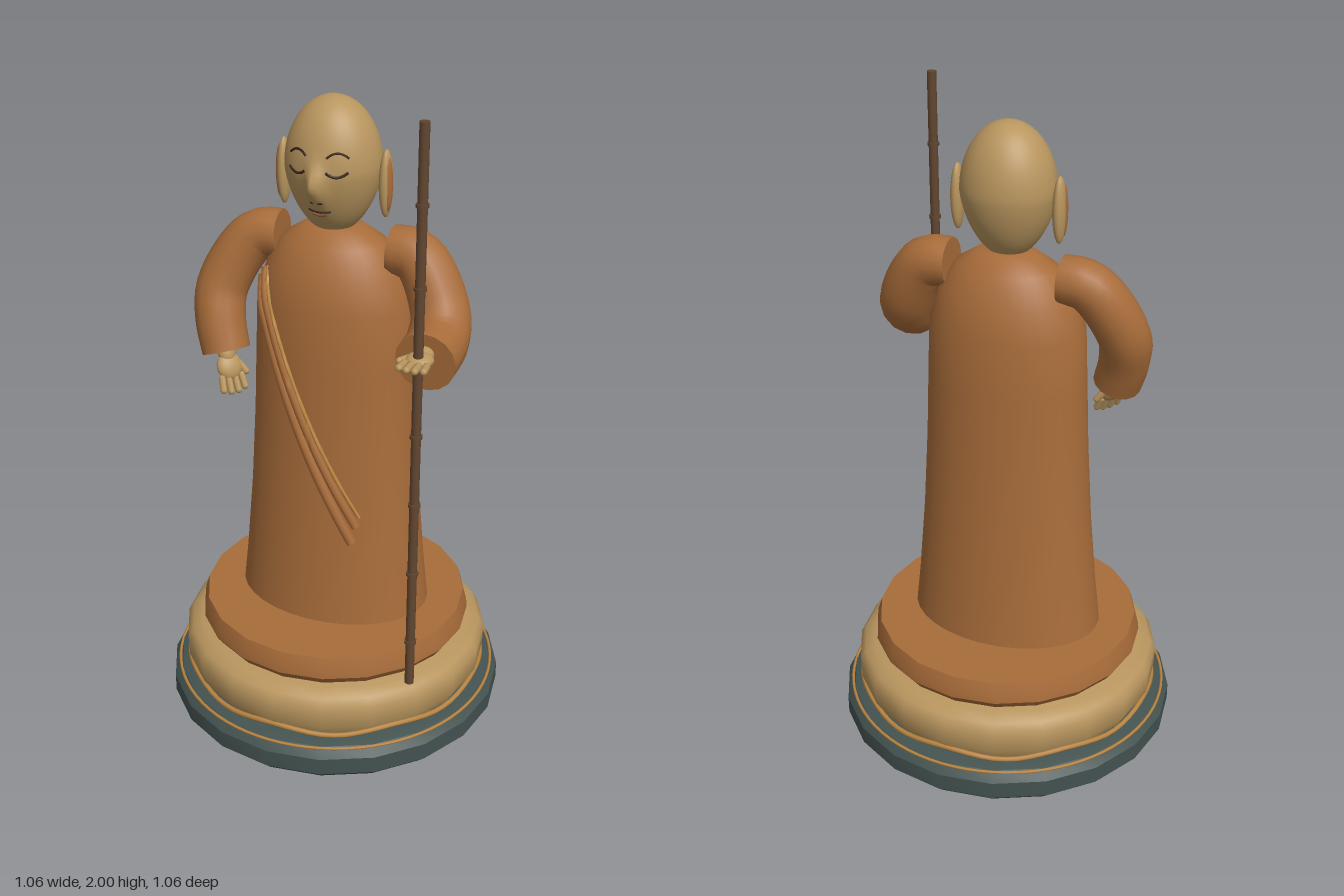
import * as THREE from 'three';
import { toCreasedNormals } from 'three/addons/utils/BufferGeometryUtils.js';

const mat = (name, color) => {
  const m = new THREE.MeshStandardMaterial({ color });
  m.name = name;
  return m;
};
const V = (x, y, z) => new THREE.Vector3(x, y, z);

export function createModel() {
  const root = new THREE.Group();
  root.name = 'robedMonkStatue';
  const robeMat = mat('robe brown', 0xa86c3a);
  const skinMat = mat('skin tan', 0xb8955e);
  const stoneMat = mat('dark stone', 0x435250);
  const goldMat = mat('gold trim', 0xb98542);
  const woodMat = mat('staff wood', 0x624630);
  const inkMat = mat('face line', 0x38261a);
  const lipMat = mat('lip', 0x8a5436);

  const add = (name, geo, material, parent = root) => {
    const mesh = new THREE.Mesh(geo, material);
    mesh.name = name;
    parent.add(mesh);
    return mesh;
  };
  const lathe = (pts, sides) =>
    new THREE.LatheGeometry(pts.map(p => new THREE.Vector2(...p)), sides);
  const ball = (name, p, r, material, parent) => {
    const m = add(name, new THREE.SphereGeometry(1, 20, 14), material, parent);
    m.position.set(...p);
    m.scale.set(...r);
    return m;
  };
  // Tube along points with a changing radius and flat closed ends
  const sweep = (pts, radius, n = 24, sides = 16) => {
    const curve = new THREE.CatmullRomCurve3(pts);
    const geo = new THREE.TubeGeometry(curve, n, 1, sides);
    const pos = geo.attributes.position, v = V(0, 0, 0);
    for (let k = 0; k < pos.count; k++) {
      const i = Math.floor(k / (sides + 1));
      const c = curve.getPointAt(i / n);
      v.fromBufferAttribute(pos, k).sub(c).multiplyScalar(radius(i / n)).add(c);
      if (i === 0) v.copy(curve.getPointAt(1 / n));
      if (i === n) v.copy(curve.getPointAt(1 - 1 / n));
      pos.setXYZ(k, v.x, v.y, v.z);
    }
    return toCreasedNormals(geo, 0.9);
  };

  // Stepped round base
  add('stoneBase', toCreasedNormals(lathe([[0, 0], [0.5, 0], [0.53, 0.03],
    [0.53, 0.085], [0.505, 0.115], [0.47, 0.125], [0, 0.125]], 20), 0.6), stoneMat);
  add('middleTier', toCreasedNormals(lathe([[0, 0.12], [0.455, 0.12], [0.48, 0.165],
    [0.482, 0.235], [0.465, 0.26], [0.43, 0.277], [0, 0.277]], 20), 0.7), skinMat);
  add('upperTier', toCreasedNormals(lathe([[0, 0.27], [0.4, 0.27], [0.425, 0.305],
    [0.422, 0.33], [0.41, 0.37], [0, 0.37]], 20), 0.6), robeMat);

  // Gold rings, the upper one wavy
  const ring = (r, y, wave, tube) => {
    const pts = [];
    for (let i = 0; i < 40; i++) {
      const a = i / 40 * Math.PI * 2;
      pts.push(V(r * Math.sin(a), y + wave * Math.cos(a * 8), r * Math.cos(a)));
    }
    return new THREE.TubeGeometry(new THREE.CatmullRomCurve3(pts, true), 80, tube, 6, true);
  };
  add('baseRing', ring(0.508, 0.112, 0, 0.005), goldMat);
  add('wavyRing', ring(0.474, 0.142, 0.008, 0.008), goldMat);

  // Robe body, an oval lathe
  const profile = [[0.305, 0.365], [0.29, 0.5], [0.268, 0.75], [0.253, 1], [0.245, 1.2],
    [0.238, 1.37], [0.205, 1.47], [0.155, 1.55], [0.085, 1.595], [0, 1.6]];
  const depth = 0.73;
  const robe = lathe(profile, 32);
  robe.scale(1, 1, depth);
  add('robeBody', robe, robeMat);
  const robeFront = (x, y) => {
    let i = 1;
    while (i < profile.length - 1 && profile[i][1] < y) i++;
    const [r0, y0] = profile[i - 1], [r1, y1] = profile[i];
    const r = r0 + (r1 - r0) * (y - y0) / (y1 - y0);
    return depth * Math.sqrt(Math.max(r * r - x * x, 0.002));
  };

  // Diagonal sash folds following the robe
  const fold = (name, x0, y0, x1, y1, r, material) => {
    const pts = [];
    for (let i = 0; i <= 10; i++) {
      const t = i / 10;
      const x = x0 + (x1 - x0) * t - 0.02 * Math.sin(Math.PI * t), y = y0 + (y1 - y0) * t;
      pts.push(V(x, y, robeFront(x, y) + 0.003));
    }
    add(name, sweep(pts, () => r, 40, 8), material);
  };
  fold('sashTrim', -0.185, 1.475, 0.158, 0.72, 0.006, goldMat);
  fold('sashUpperFold', -0.195, 1.465, 0.15, 0.69, 0.014, robeMat);
  fold('sashLowerFold', -0.205, 1.44, 0.14, 0.635, 0.016, robeMat);

  // Sleeves
  const sleeveRadius = t => 0.07 + 0.018 * Math.sin(Math.min(t * 1.3, 1) * Math.PI / 2);
  add('rightSleeve', sweep([V(-0.15, 1.535, -0.01), V(-0.25, 1.52, 0), V(-0.34, 1.37, 0.05),
    V(-0.335, 1.28, 0.085), V(-0.3, 1.165, 0.115)], t => sleeveRadius(t) - 0.016 * t), robeMat);
  add('leftSleeve', sweep([V(0.15, 1.535, -0.01), V(0.25, 1.52, -0.01), V(0.335, 1.38, 0.03),
    V(0.35, 1.325, 0.09), V(0.355, 1.305, 0.225)], sleeveRadius), robeMat);

  // Hands, fingers along local +z
  const hand = (name, p, target, side) => {
    const g = new THREE.Group();
    g.name = name;
    ball('wrist', [0, 0, -0.01], [0.027, 0.024, 0.04], skinMat, g);
    ball('palm', [0, 0, 0.035], [0.04, 0.021, 0.042], skinMat, g);
    const digit = (n, x, z, len, turn) => {
      const geo = new THREE.CapsuleGeometry(0.011, len, 4, 8);
      geo.rotateX(Math.PI / 2);
      const m = add(n, geo, skinMat, g);
      m.position.set(x, 0, z);
      m.rotation.y = turn;
    };
    [-0.033, -0.011, 0.011, 0.033].forEach((x, i) =>
      digit('finger', x, 0.085, i % 3 ? 0.05 : 0.036, x * 3));
    digit('thumb', side * 0.04, 0.045, 0.035, side * 0.5);
    g.position.copy(p);
    g.lookAt(target);
    root.add(g);
  };
  hand('rightHand', V(-0.3, 1.175, 0.12), V(-0.255, 1.06, 0.155), 1);
  hand('leftHand', V(0.355, 1.335, 0.22), V(0.36, 1.34, 0.4), -1);

  // Jointed staff
  const staff = new THREE.Group();
  staff.name = 'staff';
  staff.position.set(0.358, 0, 0.27);
  root.add(staff);
  add('staffPole', new THREE.CylinderGeometry(0.014, 0.014, 1.73, 12), woodMat, staff)
    .position.y = 1.135;
  for (const y of [0.42, 0.66, 0.89, 1.11, 1.34, 1.55, 1.78]) {
    add('staffJoint', new THREE.CylinderGeometry(0.018, 0.018, 0.01, 12), woodMat, staff)
      .position.y = y;
  }

  // Egg-shaped head with the nose drawn out of its front
  const taper = v => (v < 0 ? 1 + 0.15 * v : 1);
  const nose = (x, y) => 0.043 * Math.exp(-((x / 0.022) ** 2) - ((y - 1.74) / 0.05) ** 2);
  const headGeo = new THREE.SphereGeometry(1, 56, 44);
  const hp = headGeo.attributes.position;
  for (let i = 0; i < hp.count; i++) {
    const v = hp.getY(i), k = taper(v);
    const x = hp.getX(i) * 0.14 * k, y = 1.768 + v * 0.198;
    const z = 0.01 + hp.getZ(i) * 0.13 * k;
    hp.setXYZ(i, x, y, z + (hp.getZ(i) > 0 ? nose(x, y) : 0));
  }
  headGeo.computeVertexNormals();
  add('head', headGeo, skinMat);
  const faceZ = (x, y) => {
    const v = (y - 1.768) / 0.198;
    const k = taper(v) * Math.sqrt(1 - v * v);
    return 0.01 + 0.13 * k * Math.sqrt(1 - (x / (0.14 * k)) ** 2) + nose(x, y);
  };

  // Face lines lying on the head
  const faceLine = (name, cx, cy, w, bend, r, material) => {
    const pts = [];
    for (let i = 0; i <= 6; i++) {
      const t = i / 3 - 1, x = cx + t * w, y = cy + bend * (1 - t * t);
      pts.push(V(x, y, faceZ(x, y)));
    }
    add(name, new THREE.TubeGeometry(new THREE.CatmullRomCurve3(pts), 16, r, 6), material);
  };
  for (const s of [-1, 1]) {
    faceLine('eyebrow', s * 0.058, 1.822, 0.028, 0.014, 0.0035, inkMat);
    faceLine('closedEye', s * 0.058, 1.784, 0.028, -0.013, 0.004, inkMat);
    faceLine('nostril', s * 0.012, 1.692, 0.005, 0.002, 0.003, inkMat);
    // Long ears with a hollow
    ball('ear', [s * 0.155, 1.73, 0.005], [0.019, 0.098, 0.03], skinMat);
    ball('earHollow', [s * 0.164, 1.73, 0.012], [0.0125, 0.078, 0.016], robeMat);
  }
  faceLine('mouth', 0, 1.664, 0.033, -0.003, 0.0035, inkMat);
  faceLine('lowerLip', 0, 1.654, 0.02, -0.005, 0.0045, lipMat);

  return root;
}
